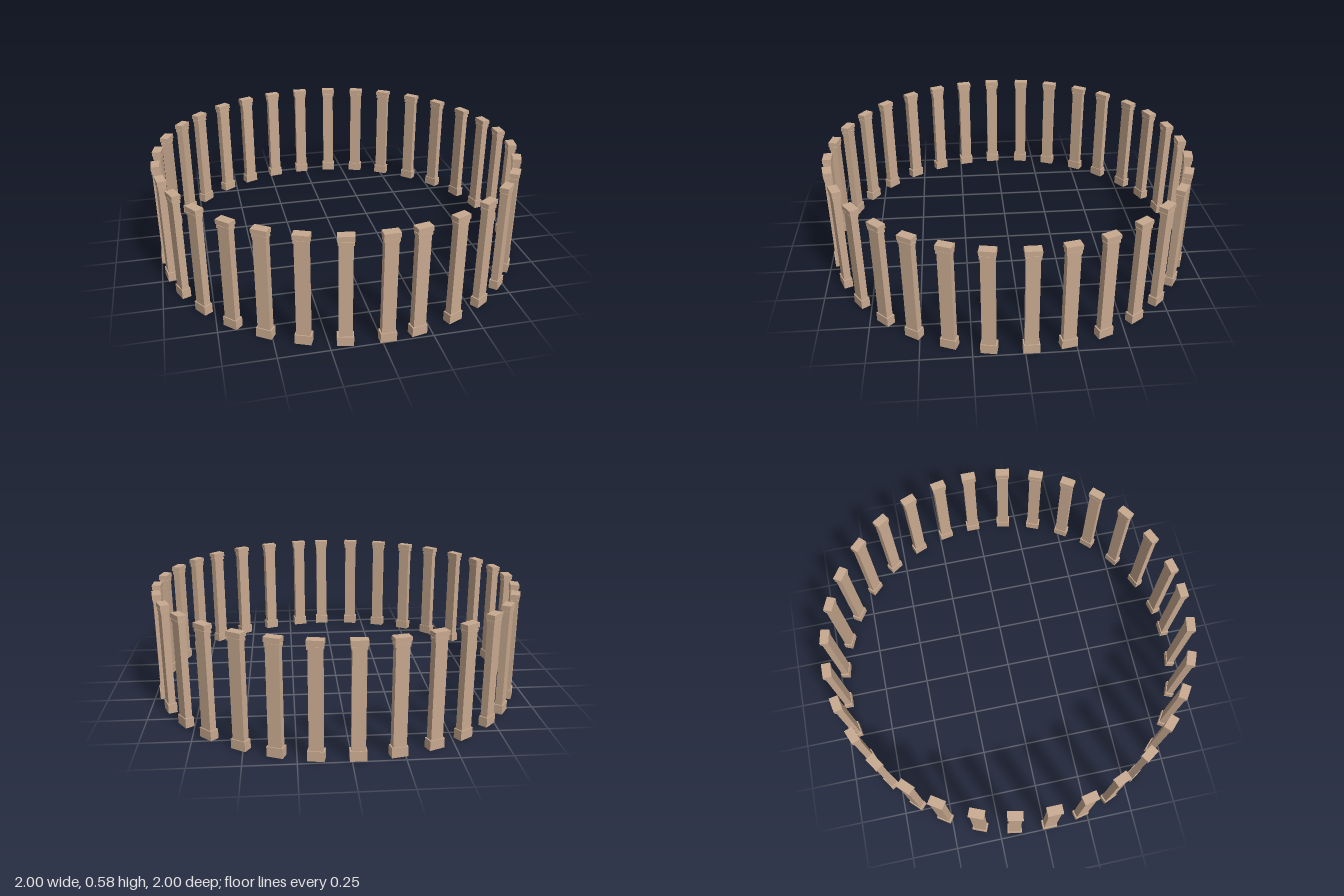
import * as THREE from 'three';

const RADIUS = 0.976;
// Bearing of each pillar around the ring in degrees, clockwise from the back
const BEARINGS = [
  -1.7, 9.5, 20.6, 31.5, 43.2, 54.5, 66.3, 77.6,
  88.3, 100, 111.4, 122.6, 133.4, 145.1, 157, 169.3,
  178.4, 190.2, 201.6, 212.7, 223.5, 235.2, 246.5, 257.4,
  268.4, 279.9, 291.1, 303.1, 313.4, 325.2, 335.9, 347.1,
];
// Stacked blocks of a pillar: name, width, depth, bottom, top
const BLOCKS = [
  ['base', 0.08, 0.047, 0, 0.05],
  ['shaft', 0.066, 0.037, 0.05, 0.54],
  ['neckRing', 0.074, 0.042, 0.54, 0.555],
  ['groove', 0.068, 0.038, 0.555, 0.561],
  ['cap', 0.08, 0.047, 0.561, 0.585],
];

export function createModel() {
  const model = new THREE.Group();
  model.name = 'pillarRing';
  const stone = new THREE.MeshStandardMaterial({ color: 0xc8a98f });
  const blocks = BLOCKS.map(([name, width, depth, bottom, top]) => {
    const geometry = new THREE.BoxGeometry(width, top - bottom, depth);
    geometry.translate(0, (bottom + top) / 2, 0);
    return { name, geometry };
  });

  // Pillars turn by equal steps while their spacing is slightly uneven
  BEARINGS.forEach((degrees, i) => {
    const pillar = new THREE.Group();
    pillar.name = `pillar${i + 1}`;
    for (const { name, geometry } of blocks) {
      const mesh = new THREE.Mesh(geometry, stone);
      mesh.name = name;
      pillar.add(mesh);
    }
    const angle = THREE.MathUtils.degToRad(degrees);
    pillar.position.set(RADIUS * Math.sin(angle), 0, -RADIUS * Math.cos(angle));
    pillar.rotation.y = (-i * Math.PI * 2) / BEARINGS.length;
    model.add(pillar);
  });
  return model;
}
